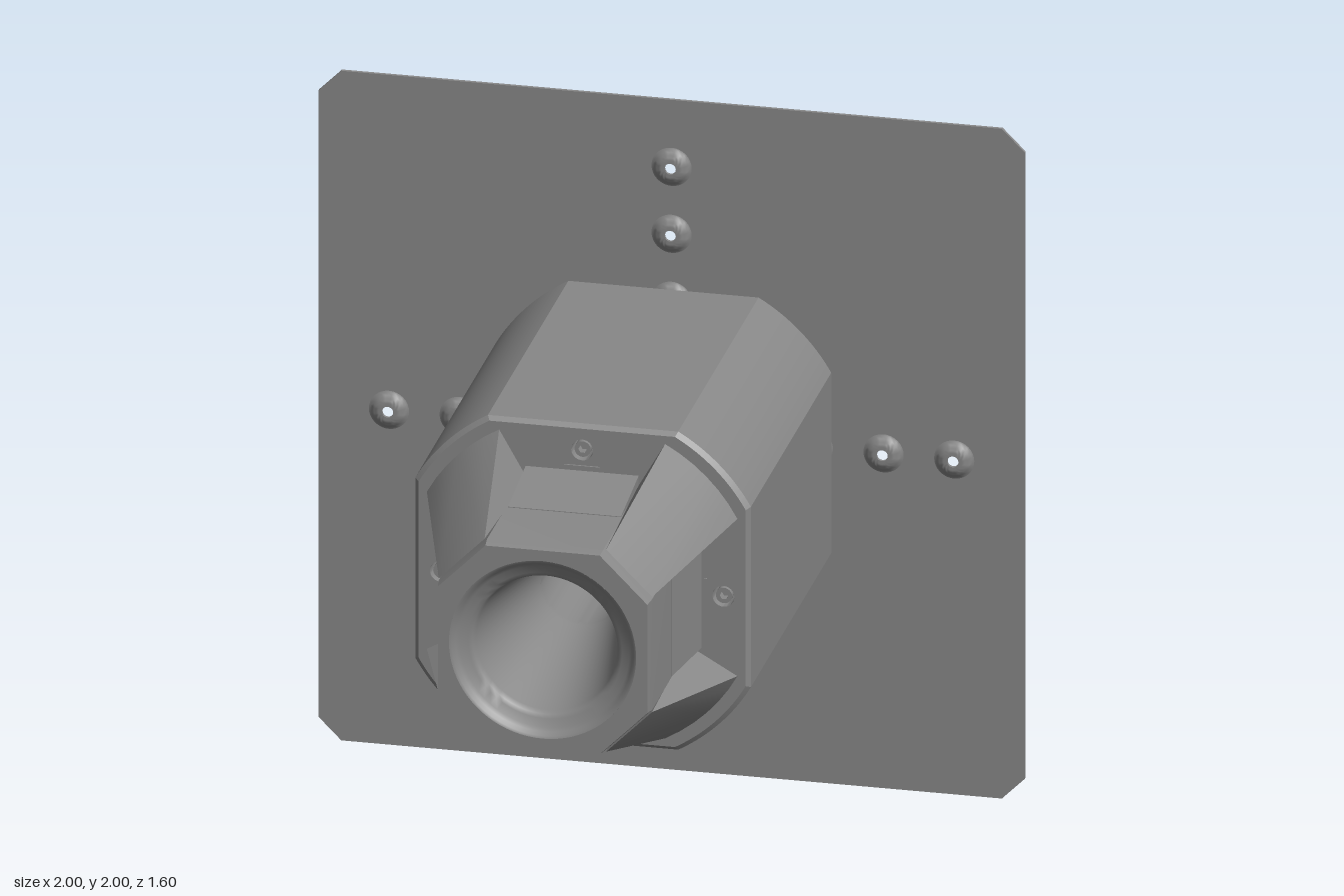
import * as THREE from 'three';
import { toCreasedNormals } from 'three/addons/utils/BufferGeometryUtils.js';
import { ConvexGeometry } from 'three/addons/geometries/ConvexGeometry.js';

const darkGrey = new THREE.MeshStandardMaterial({ color: 0x888888 });
const CY = 1; // height of the main axis
const bolts = [[0.4, 0], [-0.4, 0], [0, 0.4], [0, -0.4]];

function add(parent, name, geometry) {
  const mesh = new THREE.Mesh(geometry, darkGrey);
  mesh.name = name;
  parent.add(mesh);
  return mesh;
}

// Square of half size h whose corners start at distance c along each side
function cutSquare(h, c) {
  return [[h, -c], [h, c], [c, h], [-c, h], [-h, c], [-h, -c], [-c, -h], [c, -h]]
    .map(([x, y]) => new THREE.Vector2(x, y));
}

function circleHole(x, y, r) {
  return new THREE.Path().absarc(x, y, r, 0, Math.PI * 2, true);
}

// Extrusion from z0 to z1 whose outer rim narrows from zMid to the front
function taperedBlock(shape, z0, zMid, z1, rimRadius, scale) {
  const depth = z1 - z0;
  const geo = new THREE.ExtrudeGeometry(shape, { depth, steps: 2, bevelEnabled: false, curveSegments: 40 });
  const p = geo.attributes.position;
  for (let i = 0; i < p.count; i++) {
    const t = p.getZ(i) / depth;
    const front = t > 0.75;
    const k = front && Math.hypot(p.getX(i), p.getY(i)) > rimRadius ? scale : 1;
    p.setXYZ(i, p.getX(i) * k, p.getY(i) * k, front ? z1 : t > 0.25 ? zMid : z0);
  }
  geo.deleteAttribute('normal');
  return toCreasedNormals(geo, 0.3);
}

// Smooth lathe about the z axis; profile points are [radius, z]
function latheZ(profile, segments) {
  const geo = new THREE.LatheGeometry(profile.map(([r, z]) => new THREE.Vector2(r, z)), segments);
  return toCreasedNormals(geo.rotateX(Math.PI / 2), 0.9);
}

function hull(points) {
  return new ConvexGeometry(points.map((p) => new THREE.Vector3(...p)));
}

export function createModel() {
  const model = new THREE.Group();
  model.name = 'plateMountedNozzle';
  const axis = new THREE.Group();
  axis.name = 'assembly';
  axis.position.y = CY;
  model.add(axis);

  // Back plate with a cross of pressed dimples
  const dimples = [[0, 0]];
  for (const d of [0.4, 0.6, 0.8]) dimples.push([d, 0], [-d, 0], [0, d], [0, -d]);
  const plate = new THREE.Shape(cutSquare(1, 0.935));
  for (const [x, y] of dimples) plate.holes.push(circleHole(x, y, 0.057));
  add(axis, 'backPlate', new THREE.ExtrudeGeometry(plate, { depth: 0.01, bevelEnabled: false, curveSegments: 16 })
    .translate(0, 0, -0.8));
  const dimpleGeo = latheZ([[0.057, 0.01], [0.052, 0.012], [0.046, 0.017], [0.039, 0.024], [0.033, 0.027],
    [0.026, 0.028], [0.016, 0.028], [0.016, 0.019], [0.026, 0.018], [0.033, 0.014], [0.042, 0.005],
    [0.049, 0.001], [0.057, 0]], 32);
  for (const [x, y] of dimples) add(axis, 'dimple', dimpleGeo).position.set(x, y, -0.8);

  // Main body: square with round corners, drilled for the bore and bolts
  const R = 0.546, H = 0.475, a = Math.acos(H / R);
  const body = new THREE.Shape();
  for (let q = 0; q < 4; q++) {
    const s = q * Math.PI / 2;
    body.absarc(0, 0, R, s + a, s + Math.PI / 2 - a, false);
  }
  body.closePath();
  body.holes.push(circleHole(0, 0, 0.12));
  for (const [x, y] of bolts) body.holes.push(circleHole(x, y, 0.031));
  add(axis, 'body', taperedBlock(body, -0.69, 0.3, 0.312, 0.46, 0.975));

  // Bolts through the body to the plate, with hexagonal sockets
  const head = new THREE.Shape().absarc(0, 0, 0.023, 0, Math.PI * 2, false);
  const hex = [];
  for (let i = 0; i < 6; i++) hex.push(new THREE.Vector2(0.012, 0).rotateAround(new THREE.Vector2(), -i * Math.PI / 3));
  head.holes.push(new THREE.Path(hex));
  const headGeo = new THREE.ExtrudeGeometry(head, { depth: 0.03, bevelEnabled: false, curveSegments: 16 });
  const rodGeo = new THREE.CylinderGeometry(0.02, 0.02, 1.065, 20).rotateX(Math.PI / 2);
  for (const [x, y] of bolts) {
    add(axis, 'boltRod', rodGeo).position.set(x, y, -0.2525);
    add(axis, 'boltHead', headGeo).position.set(x, y, 0.276);
  }

  // Octagonal nose and the flared bore inside it
  const nose = new THREE.Shape(cutSquare(0.302, 0.165));
  nose.holes.push(circleHole(0, 0, 0.265));
  add(axis, 'nose', taperedBlock(nose, 0.31, 0.765, 0.8, 0.29, 0.982));
  add(axis, 'flaredBore', latheZ([[0.265, 0.8], [0.258, 0.797], [0.25, 0.785], [0.24, 0.777], [0.218, 0.768],
    [0.207, 0.762], [0.2, 0.745], [0.12, 0.32], [0.12, 0.3]], 64));

  // Corner buttress: curved foot on the body, narrowing to the nose
  const foot = [[0.155, 0.3, 0.31], [0.3, 0.155, 0.31], [0.172, 0.302, 0.765], [0.302, 0.172, 0.765]];
  const a0 = Math.atan2(0.235, 0.44), a1 = Math.PI / 2 - a0;
  for (let i = 0; i <= 6; i++) {
    const t = a0 + (a1 - a0) * i / 6;
    foot.push([0.499 * Math.cos(t), 0.499 * Math.sin(t), 0.31]);
  }
  const buttressGeo = toCreasedNormals(hull(foot), 0.3);

  // Sloping panel in the recess between two buttresses
  const panelPoints = [];
  for (const x of [-0.16, 0.16]) {
    panelPoints.push([x, 0.29, 0.53], [x, 0.304, 0.53], [x, 0.29, 0.31], [x, 0.338, 0.31]);
  }
  const panelGeo = hull(panelPoints);
  const tabGeo = new THREE.BoxGeometry(0.1, 0.008, 0.008);

  for (let q = 0; q < 4; q++) {
    const side = new THREE.Group();
    side.name = 'noseSide';
    side.rotation.z = q * Math.PI / 2;
    axis.add(side);
    add(side, 'buttress', buttressGeo);
    add(side, 'recessPanel', panelGeo);
    add(side, 'recessTab', tabGeo).position.set(0, 0.35, 0.313);
  }
  return model;
}
